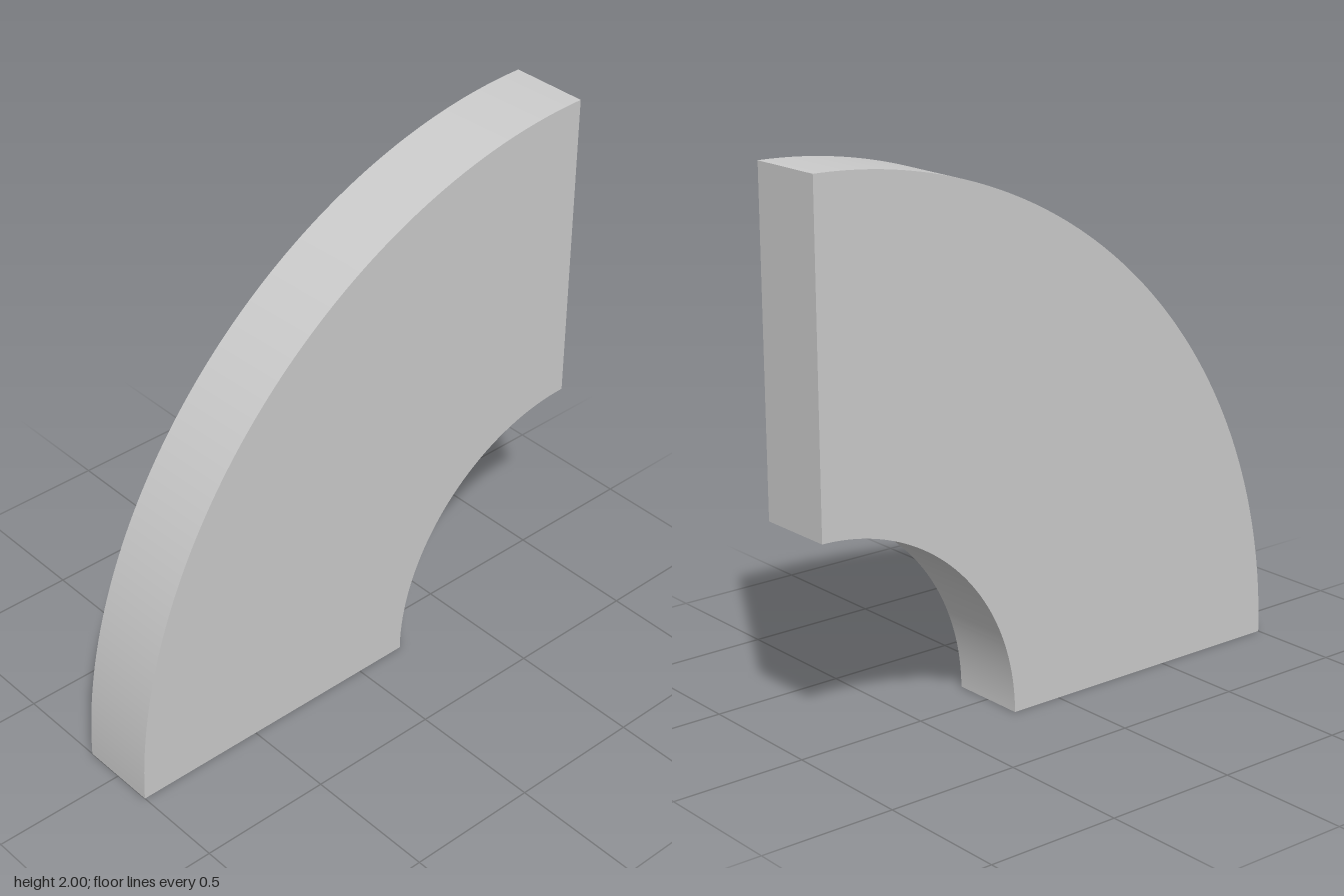
import * as THREE from 'three';
import { toCreasedNormals } from 'three/addons/utils/BufferGeometryUtils.js';

const OUTER = 2, INNER = 0.8, DEPTH = 0.3;

export function createModel() {
  const group = new THREE.Group();
  group.name = 'quarterRing';

  // Quarter ring profile, swept about the lower corner at x = 1
  const shape = new THREE.Shape();
  shape.absarc(1, 0, OUTER, Math.PI / 2, Math.PI, false);
  shape.absarc(1, 0, INNER, Math.PI, Math.PI / 2, true);
  shape.closePath();

  // Flat slab: smooth curved walls, sharp edges
  const geometry = new THREE.ExtrudeGeometry(shape, { depth: DEPTH, bevelEnabled: false, curveSegments: 64 });
  geometry.translate(0, 0, -DEPTH / 2);

  const slab = new THREE.Mesh(
    toCreasedNormals(geometry, Math.PI / 6),
    new THREE.MeshStandardMaterial({ color: 0xcccccc })
  );
  slab.name = 'curvedSlab';
  group.add(slab);
  return group;
}
